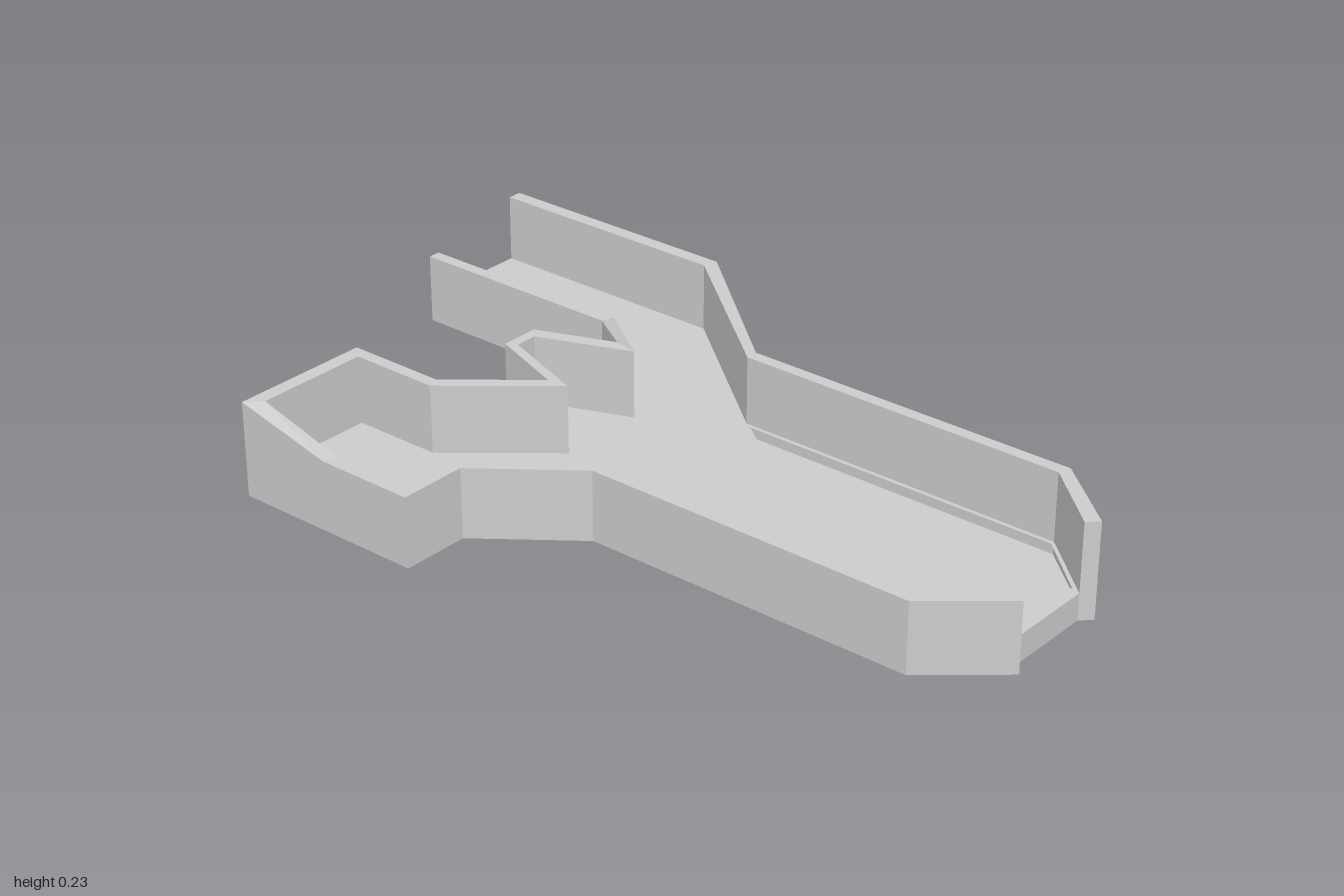
import * as THREE from 'three';

const FLOOR = 0.065, GUTTER = 0.035, LOW = 0.17, HIGH = 0.23;
const material = new THREE.MeshStandardMaterial({ color: 0xcccccc, flatShading: true });

// Each wall station: outer x, outer z, inner x, inner z, top height
const backWall = [
  [-1, -0.605, -1, -0.57, HIGH],
  [-0.37, -0.605, -0.38, -0.57, HIGH],
  [0, -0.29, 0, -0.26, HIGH],
  [0.83, -0.29, 0.82, -0.26, HIGH],
  [1, -0.145, 0.975, -0.12, HIGH],
];
const frontWall = [
  [1, 0.125, 0.975, 0.1, LOW],
  [0.83, 0.27, 0.82, 0.24, LOW],
  [0.01, 0.27, 0, 0.24, LOW],
  [-0.21, 0.44, -0.235, 0.43, LOW],
  [-0.21, 0.605, -0.235, 0.57, LOW],
  [-0.45, 0.605, -0.45, 0.57, LOW],
  [-0.695, 0.605, -0.66, 0.57, HIGH],
  [-0.695, 0.26, -0.66, 0.29, HIGH],
  [-0.45, 0.26, -0.44, 0.29, HIGH],
  // pointed divider between the two branches
  [-0.263, 0.105, -0.21, 0.1, HIGH],
  [-0.455, 0.035, -0.43, 0.02, HIGH],
  [-0.455, -0.06, -0.43, -0.035, HIGH],
  [-0.269, -0.132, -0.21, -0.12, HIGH],
  [-0.45, -0.285, -0.44, -0.315, LOW],
  [-1, -0.285, -1, -0.315, LOW],
];

// Solid wall swept along its stations, closed at both ends
function makeWall(name, stations) {
  const positions = [];
  const quad = (a, b, c, d) => positions.push(...a, ...b, ...c, ...a, ...c, ...d);
  const rings = stations.map(([ox, oz, ix, iz, h]) => ({
    ob: [ox, 0, oz], ot: [ox, h, oz], ib: [ix, 0, iz], it: [ix, h, iz],
  }));
  for (let i = 0; i < rings.length - 1; i++) {
    const a = rings[i], b = rings[i + 1];
    quad(b.ob, a.ob, a.ot, b.ot);
    quad(a.ib, b.ib, b.it, a.it);
    quad(a.ot, a.it, b.it, b.ot);
    quad(a.ob, b.ob, b.ib, a.ib);
  }
  const s = rings[0], e = rings[rings.length - 1];
  quad(s.ob, s.ib, s.it, s.ot);
  quad(e.ib, e.ob, e.ot, e.it);
  const geometry = new THREE.BufferGeometry();
  geometry.setAttribute('position', new THREE.Float32BufferAttribute(positions, 3));
  geometry.computeVertexNormals();
  const mesh = new THREE.Mesh(geometry, material);
  mesh.name = name;
  return mesh;
}

// Flat plate from a plan outline in x, z
function makePlate(name, outline, y0, y1, holes = []) {
  const plan = (pts) => pts.map(([x, z]) => new THREE.Vector2(x, -z));
  const shape = new THREE.Shape(plan(outline));
  shape.holes = holes.map((h) => new THREE.Path(plan(h)));
  const geometry = new THREE.ExtrudeGeometry(shape, { depth: y1 - y0, bevelEnabled: false });
  geometry.rotateX(-Math.PI / 2).translate(0, y0, 0);
  const mesh = new THREE.Mesh(geometry, material);
  mesh.name = name;
  return mesh;
}

export function createModel() {
  const model = new THREE.Group();
  model.name = 'forkedChannel';

  // Floor fills the plan between the inner wall faces
  const outline = [...backWall, ...frontWall].map((s) => [s[2], s[3]]);

  // Sunken gutters along both sides of the main channel
  const backGutter = [[0.02, -0.25], [0.82, -0.25], [0.955, -0.125], [0.18, -0.125]];
  const frontGutter = backGutter.map(([x, z]) => [x, -0.02 - z]);

  model.add(
    makePlate('base', outline, 0, GUTTER),
    makePlate('floor', outline, GUTTER, FLOOR, [backGutter, frontGutter]),
    makeWall('backWall', backWall),
    makeWall('frontWall', frontWall),
  );
  return model;
}
